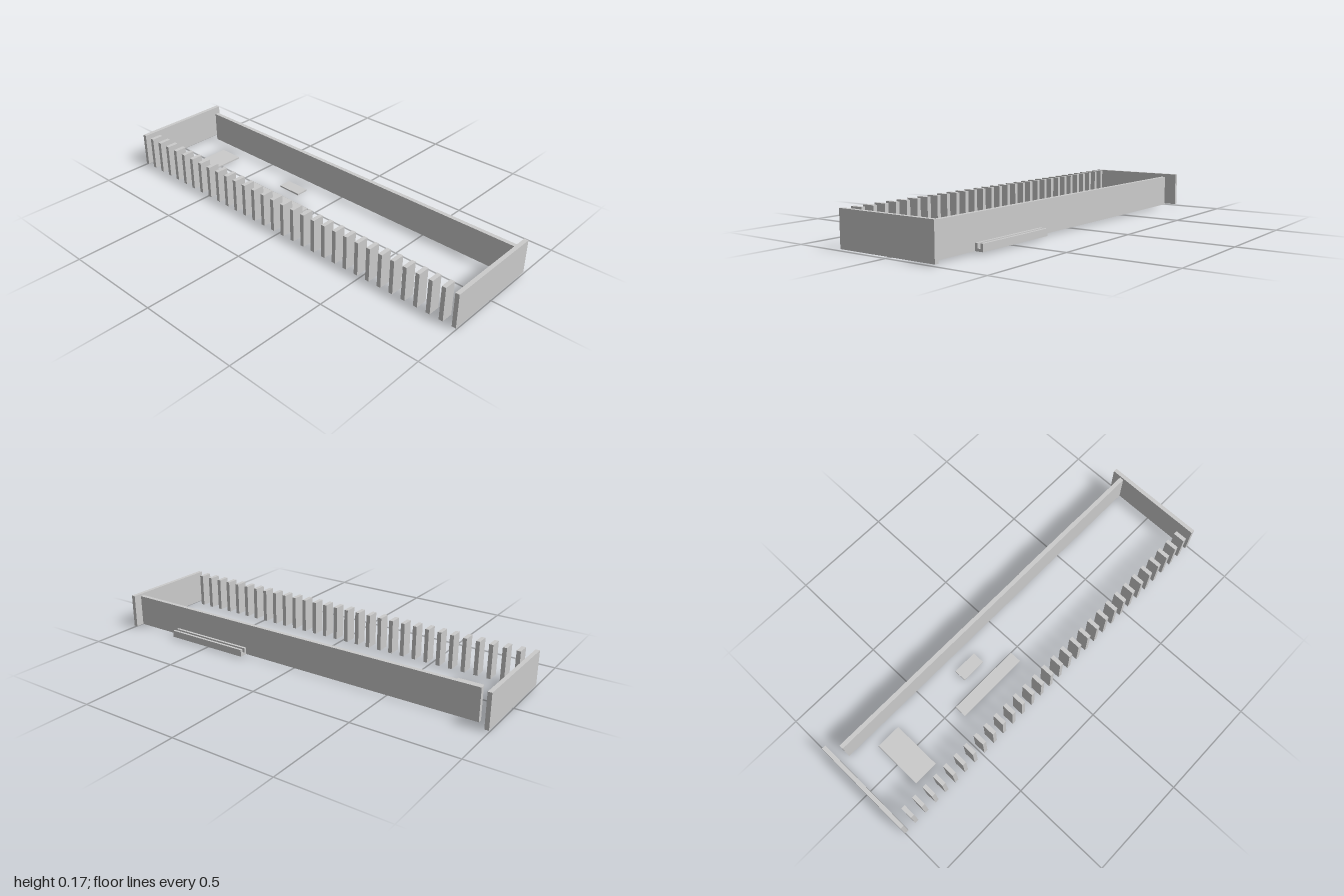
import * as THREE from 'three';

const material = new THREE.MeshStandardMaterial({ color: 0xcccccc, flatShading: true });

// Box given by its extents on each axis
function box(name, [x0, x1], [y0, y1], [z0, z1]) {
  const mesh = new THREE.Mesh(new THREE.BoxGeometry(x1 - x0, y1 - y0, z1 - z0), material);
  mesh.name = name;
  mesh.position.set((x0 + x1) / 2, (y0 + y1) / 2, (z0 + z1) / 2);
  return mesh;
}

export function createModel() {
  const model = new THREE.Group();
  model.name = 'slattedEnclosure';
  const base = 0.008, top = 0.175;

  // End walls
  model.add(box('frontWall', [-0.255, 0.255], [base, top], [0.98, 1]));
  model.add(box('backWall', [-0.255, 0.255], [base, top], [-1, -0.98]));

  // Long solid wall, stopping short of the back wall
  model.add(box('leftWall', [0.191, 0.212], [base, 0.163], [-0.937, 0.98]));

  // Row of upright slats along the right side
  const slats = new THREE.Group();
  slats.name = 'slats';
  const count = 30;
  for (let i = 0; i < count; i++) {
    const z = -0.927 + (i * 1.854) / (count - 1);
    slats.add(box('slat', [-0.255, -0.195], [base, top], [z - 0.01, z + 0.01]));
  }
  model.add(slats);

  // Channel fixed outside the long wall
  const profile = new THREE.Shape([
    [0.212, base], [0.252, base], [0.252, 0.042], [0.239, 0.042],
    [0.239, 0.02], [0.225, 0.02], [0.225, 0.042], [0.212, 0.042],
  ].map(([x, y]) => new THREE.Vector2(x, y)));
  const trough = new THREE.Mesh(
    new THREE.ExtrudeGeometry(profile, { depth: 0.444, bevelEnabled: false }), material);
  trough.name = 'trough';
  trough.position.z = 0.276;
  model.add(trough);

  // Flat pads on the ground
  model.add(box('widePad', [-0.127, 0.127], [0, base], [-0.81, -0.683]));
  model.add(box('longPad', [-0.063, -0.002], [0, base], [-0.427, -0.046]));
  model.add(box('smallPad', [0.064, 0.127], [0, base], [-0.301, -0.174]));

  return model;
}
